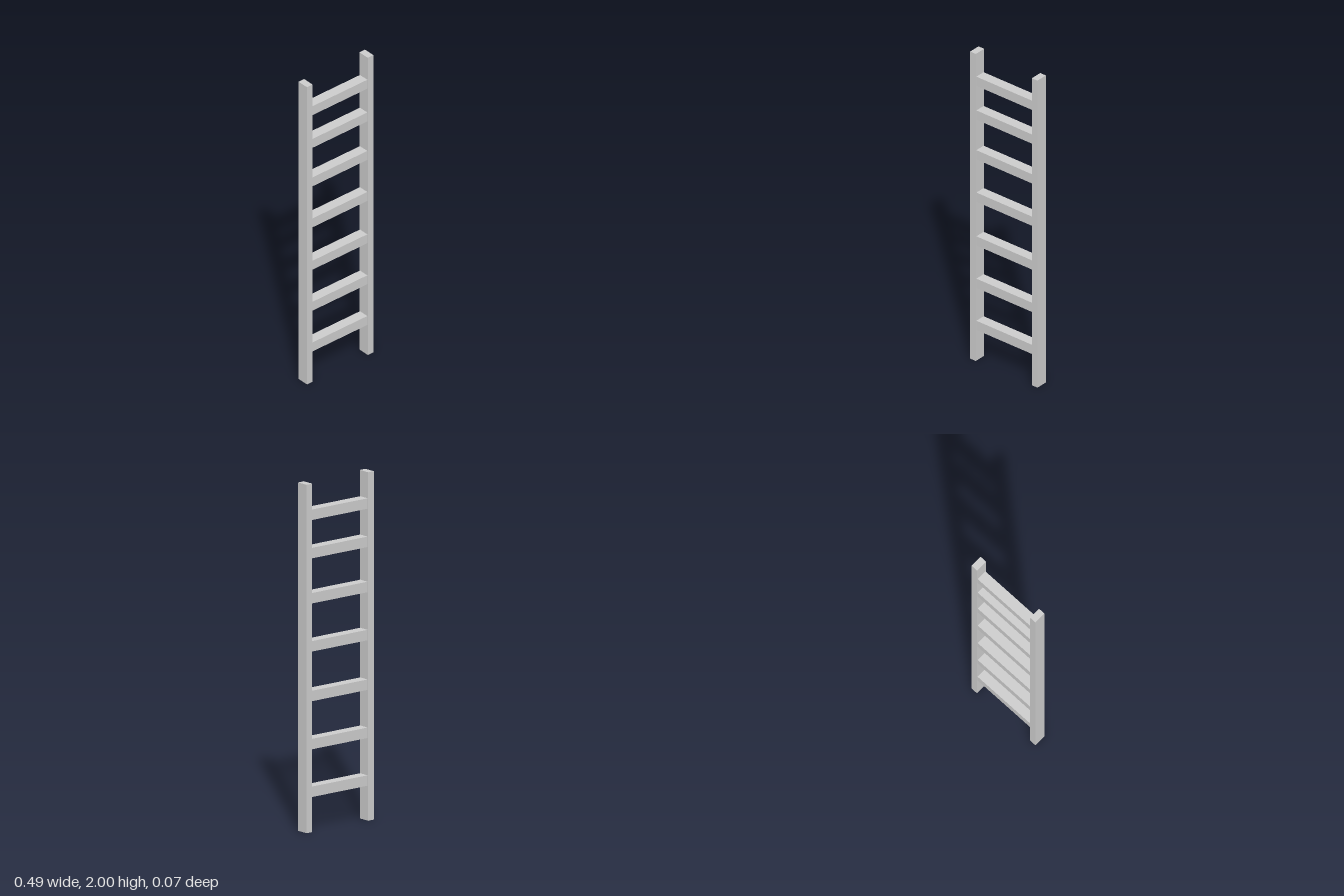
import * as THREE from 'three';

export function createModel() {
  const ladder = new THREE.Group();
  ladder.name = 'ladder';
  const material = new THREE.MeshStandardMaterial({ color: 0xcccccc, flatShading: true });

  const addBox = (name, size, x, y) => {
    const mesh = new THREE.Mesh(new THREE.BoxGeometry(...size), material);
    mesh.name = name;
    mesh.position.set(x, y, 0);
    ladder.add(mesh);
  };

  // Side rails
  const railWidth = 0.041, halfWidth = 0.244;
  for (const side of [1, -1]) {
    addBox(side > 0 ? 'leftRail' : 'rightRail', [railWidth, 2, 0.073],
      side * (halfWidth - railWidth / 2), 1);
  }

  // Rungs, slightly shallower than the rails and butted between them
  const rungLength = 2 * (halfWidth - railWidth);
  const rungHeights = [0.23, 0.504, 0.78, 1.065, 1.341, 1.6, 1.82];
  rungHeights.forEach((y, i) => addBox(`rung${i + 1}`, [rungLength, 0.06, 0.063], 0, y));

  return ladder;
}
